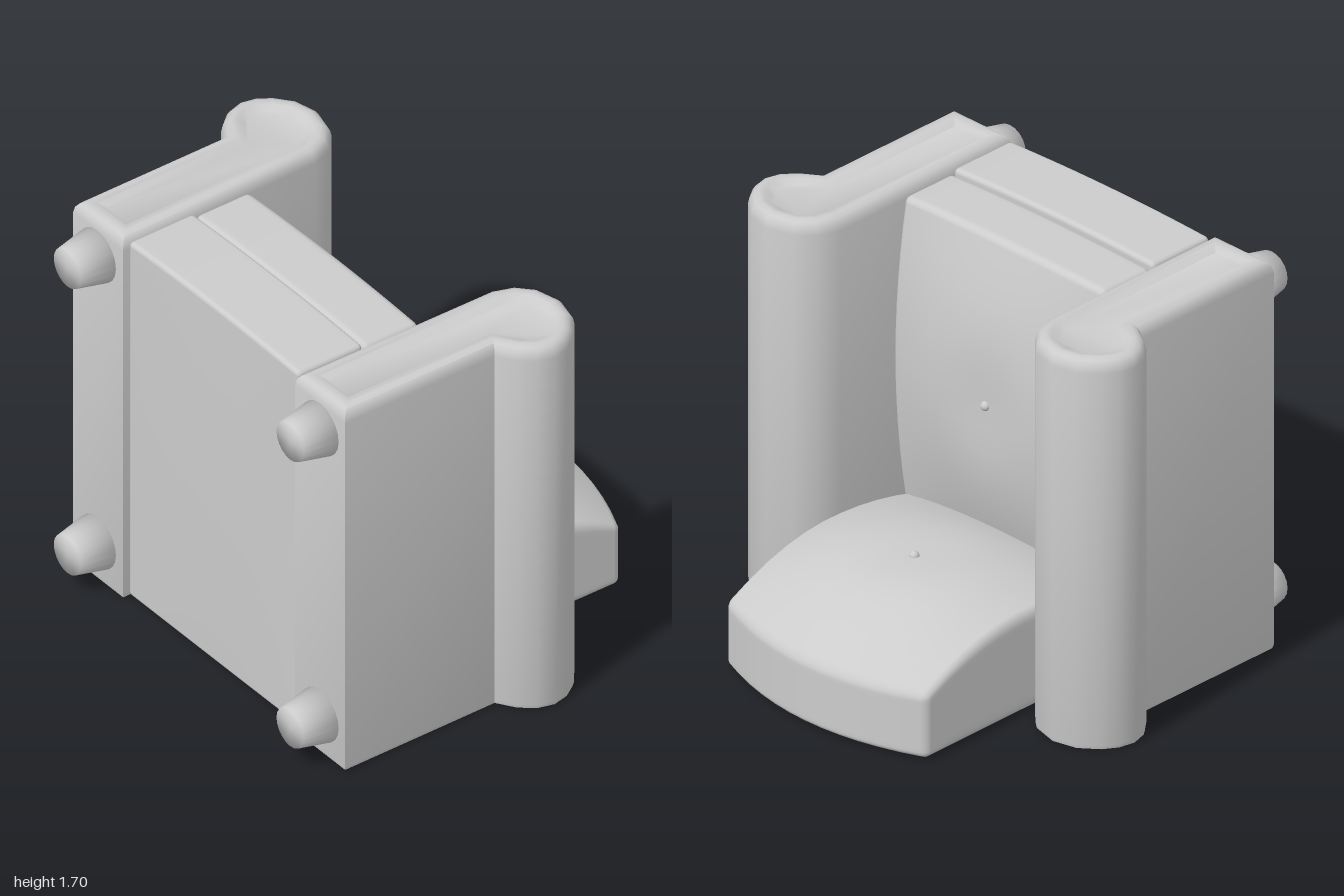
import * as THREE from 'three';
import { mergeVertices, toCreasedNormals } from 'three/addons/utils/BufferGeometryUtils.js';

const material = new THREE.MeshStandardMaterial({ color: 0xcccccc });

function add(parent, name, geometry, x = 0, y = 0, z = 0) {
  const mesh = new THREE.Mesh(geometry, material);
  mesh.name = name;
  mesh.position.set(x, y, z);
  parent.add(mesh);
  return mesh;
}

// Box between two corners with rounded edges, then bent by a rule on each vertex
function softBox(min, max, radius, bend) {
  const n = 18, bevel = 3;
  const low = new THREE.Vector3(...min), high = new THREE.Vector3(...max);
  const geo = new THREE.BoxGeometry(2, 2, 2, n, n, n);
  const pos = geo.attributes.position;
  const p = new THREE.Vector3(), q = new THREE.Vector3();
  const innerLow = low.clone().addScalar(radius), innerHigh = high.clone().subScalar(radius);
  const place = (t, a, b) => {
    const k = Math.round((t + 1) * n / 2);
    if (k < bevel) return a + radius * k / bevel;
    if (k > n - bevel) return b - radius * (n - k) / bevel;
    return a + radius + (b - a - 2 * radius) * (k - bevel) / (n - 2 * bevel);
  };
  for (let i = 0; i < pos.count; i++) {
    p.fromBufferAttribute(pos, i);
    p.set(place(p.x, low.x, high.x), place(p.y, low.y, high.y), place(p.z, low.z, high.z));
    q.copy(p).clamp(innerLow, innerHigh);
    p.sub(q).setLength(radius).add(q);
    bend(p);
    pos.setXYZ(i, p.x, p.y, p.z);
  }
  geo.deleteAttribute('uv');
  geo.deleteAttribute('normal');
  const smooth = mergeVertices(geo, 1e-5);
  smooth.computeVertexNormals();
  return smooth;
}

const arch = (t) => Math.max(0, 1 - t * t);
const dip = (u, v) => 0.03 * Math.exp(-(u * u + v * v) / 0.1);
const HALF = 0.535;

// Arm outline as (x, -z), counter-clockwise: straight post with a rolled top
const armOutline = [
  [0.54, -0.765], [0.855, -0.765], [0.855, -0.05], [0.93, 0], [0.98, 0.06], [1, 0.13],
  [0.985, 0.2], [0.945, 0.26], [0.87, 0.32], [0.765, 0.345], [0.65, 0.315], [0.58, 0.25], [0.548, 0.16],
];

function inset(points, d) {
  const n = points.length;
  const inward = (a, b) => new THREE.Vector2(a.y - b.y, b.x - a.x).normalize();
  return points.map((p, i) => {
    const n1 = inward(points[(i + n - 1) % n], p), n2 = inward(p, points[(i + 1) % n]);
    return n1.clone().add(n2).multiplyScalar(d / (1 + n1.dot(n2))).add(p);
  });
}

// Arm lofted along y, with a rounded rim and a sunken panel at each end
function armGeometry(side) {
  const outline = armOutline.map(([x, s]) => new THREE.Vector2(x * side, s));
  if (side < 0) outline.reverse();
  const rings = [
    [0.09, 0.02], [0.065, 0.003], [0.02, 0], [0.004, 0.004], [0, 0.02],
    [0, 1.64], [0.006, 1.668], [0.02, 1.687], [0.04, 1.695], [0.065, 1.693], [0.09, 1.675],
  ];
  const n = outline.length, positions = [], index = [];
  for (const [d, y] of rings) {
    for (const p of inset(outline, d)) positions.push(p.x, y, -p.y);
  }
  for (let r = 0; r < rings.length - 1; r++) {
    for (let i = 0; i < n; i++) {
      const a = r * n + i, b = r * n + (i + 1) % n;
      index.push(a, b, b + n, a, b + n, a + n);
    }
  }
  const last = (rings.length - 1) * n;
  for (const [a, b, c] of THREE.ShapeUtils.triangulateShape(inset(outline, 0.09), [])) {
    index.push(a, c, b, last + a, last + b, last + c);
  }
  const geo = new THREE.BufferGeometry();
  geo.setAttribute('position', new THREE.Float32BufferAttribute(positions, 3));
  geo.setIndex(index);
  return toCreasedNormals(geo, 0.65);
}

export function createModel() {
  const model = new THREE.Group();
  model.name = 'armchair';

  // Base under the seat, slightly swollen at the front and underside
  add(model, 'seatBase', softBox([-HALF, 0.015, 0.435], [HALF, 1.68, 0.745], 0.02, (p) => {
    const u = p.x / HALF;
    if (p.y > 1) p.y += 0.013 * arch(u);
    if (p.z > 0.6) p.z += 0.01 * arch(u) * arch((p.y - 0.85) / 0.85);
  }));

  // Seat cushion, domed with a tufted centre
  add(model, 'seatCushion', softBox([-HALF, 0.35, 0.17], [HALF, 1.665, 0.428], 0.025, (p) => {
    const u = p.x / HALF, v = (p.y - 1.0) / 0.665;
    const t = (0.428 - p.z) / 0.258;
    p.z -= t * ((0.06 + 0.07 * arch(u)) * arch(v) - dip(u, v));
    if (p.y > 1.6) p.y += 0.012 * arch(u);
  }));

  // Backrest cushion with an arched top edge and a tufted front
  add(model, 'backrest', softBox([-HALF, 0.01, -0.79], [HALF, 0.28, 0.428], 0.025, (p) => {
    const u = p.x / HALF, v = (p.z + 0.25) / (p.z < -0.25 ? 0.54 : 0.68);
    const t = (p.y - 0.01) / 0.27;
    p.y += t * ((0.15 + 0.1 * arch(u)) * arch(v) - dip(u, v));
    p.z -= 0.125 * arch(u) * (0.428 - p.z) / 1.218;
  }));

  // Tufting buttons
  const button = new THREE.SphereGeometry(0.02, 16, 12);
  add(model, 'seatButton', button, 0, 1.0, 0.07);
  add(model, 'backrestButton', button, 0, 0.5, -0.315);

  // Tapered round foot, pointing along +z
  const foot = new THREE.LatheGeometry([
    [0, 0.145], [0.085, 0.145], [0.115, 0], [0, 0],
  ].map(([r, h]) => new THREE.Vector2(r, h)).reverse(), 20).rotateX(Math.PI / 2);

  for (const side of [1, -1]) {
    const label = side > 0 ? 'left' : 'right';
    add(model, label + 'Arm', armGeometry(side));
    add(model, label + 'BackFoot', foot, side * 0.7, 0.18, 0.765);
    add(model, label + 'FrontFoot', foot, side * 0.7, 1.53, 0.765);
  }
  return model;
}
